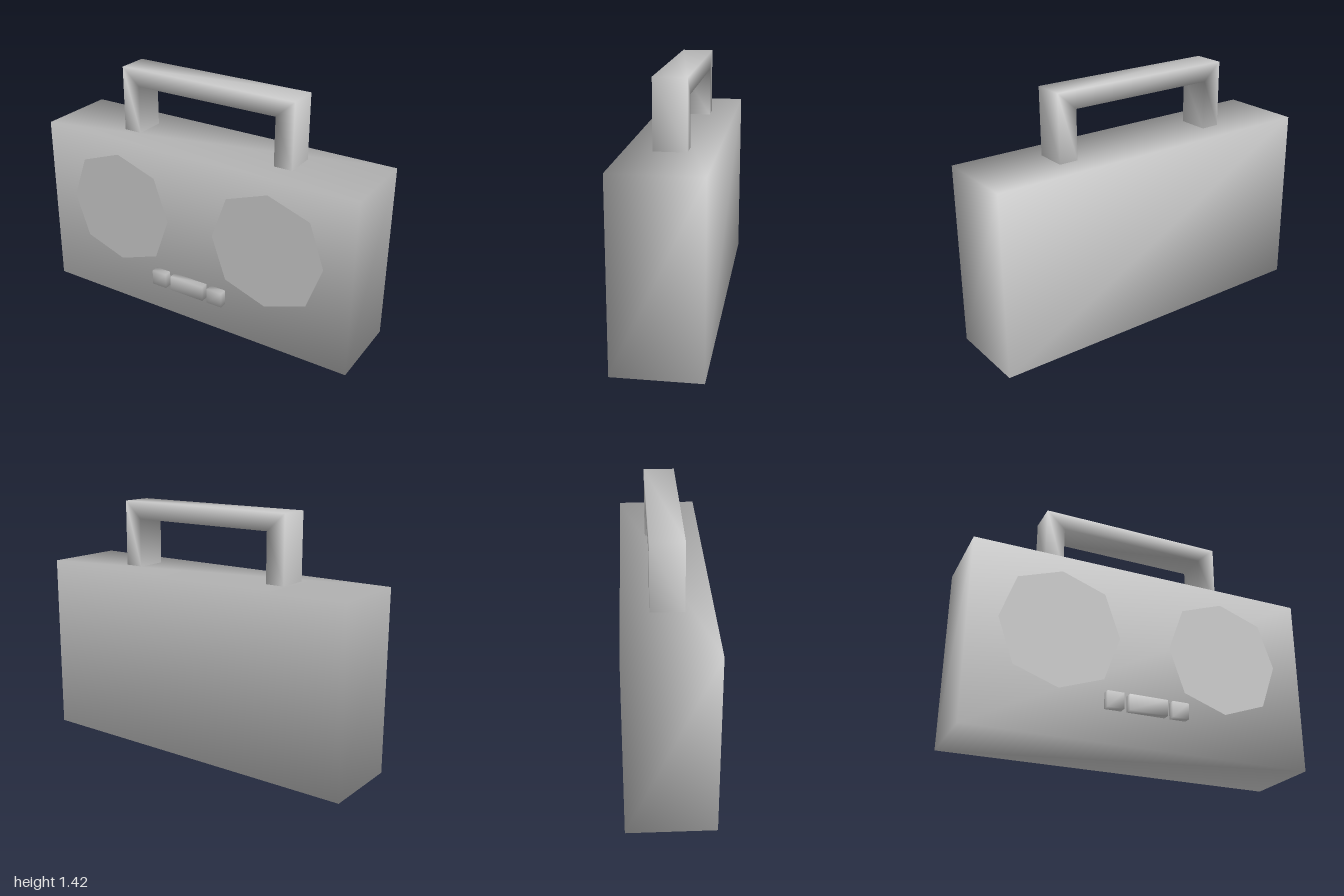
import * as THREE from 'three';
import { mergeVertices } from 'three/addons/utils/BufferGeometryUtils.js';

const grey = new THREE.MeshStandardMaterial({ color: 0xcccccc });

function add(group, name, geometry) {
  const mesh = new THREE.Mesh(geometry, grey);
  mesh.name = name;
  group.add(mesh);
  return mesh;
}

// Box with shared corners, so its shading is smooth across the edges
function smoothBox(x0, x1, y0, y1, z0, z1) {
  const box = new THREE.BoxGeometry(x1 - x0, y1 - y0, z1 - z0);
  box.translate((x0 + x1) / 2, (y0 + y1) / 2, (z0 + z1) / 2);
  box.deleteAttribute('normal');
  box.deleteAttribute('uv');
  const merged = mergeVertices(box);
  merged.computeVertexNormals();
  return merged;
}

// Rectangular bar swept along a mitred arch, open where it meets the body
function handleGeometry() {
  const outer = [[-0.55, 1.04], [-0.55, 1.42], [0.55, 1.42], [0.55, 1.04]];
  const inner = [[-0.44, 1.04], [-0.44, 1.32], [0.44, 1.32], [0.44, 1.04]];
  const front = 0.07, back = -0.11;
  const points = [], index = [];
  outer.forEach((o, i) => {
    points.push(...o, front, ...o, back, ...inner[i], back, ...inner[i], front);
    if (i === 3) return;
    for (let k = 0; k < 4; k++) {
      const a = i * 4 + k, b = i * 4 + (k + 1) % 4;
      index.push(a, b + 4, b, a, a + 4, b + 4);
    }
  });
  const geometry = new THREE.BufferGeometry();
  geometry.setAttribute('position', new THREE.Float32BufferAttribute(points, 3));
  geometry.setIndex(index);
  geometry.computeVertexNormals();
  return geometry;
}

// Flat eight-sided disc with slightly wider diagonals
function speakerGeometry() {
  const corners = [];
  for (let i = 0; i < 8; i++) {
    const angle = i * Math.PI / 4, radius = i % 2 ? 0.357 : 0.342;
    corners.push(new THREE.Vector2(Math.cos(angle) * radius, Math.sin(angle) * radius));
  }
  return new THREE.ShapeGeometry(new THREE.Shape(corners));
}

export function createModel() {
  const model = new THREE.Group();
  model.name = 'portableStereo';

  add(model, 'body', smoothBox(-1, 1, 0, 1.04, -0.26, 0.22));
  add(model, 'handle', handleGeometry());

  // Speakers lie just in front of the body
  for (const [name, x] of [['rightSpeaker', -0.495], ['leftSpeaker', 0.49]]) {
    add(model, name, speakerGeometry()).position.set(x, 0.603, 0.223);
  }

  // Row of buttons
  for (const [name, x0, x1] of [
    ['rightButton', -0.24, -0.145],
    ['middleButton', -0.112, 0.11],
    ['leftButton', 0.14, 0.237],
  ]) {
    add(model, name, smoothBox(x0, x1, 0.185, 0.275, 0.215, 0.265));
  }
  return model;
}
